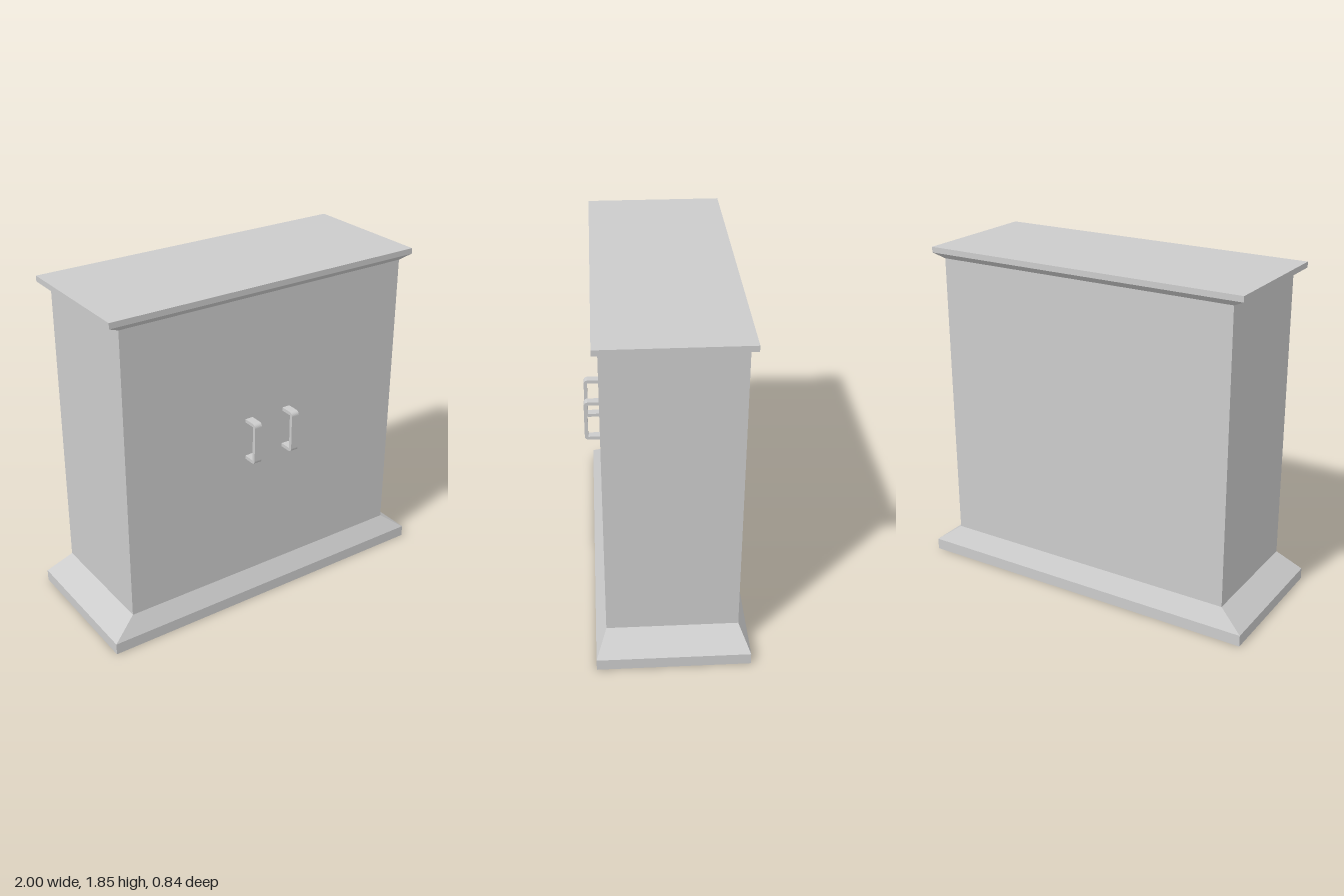
import * as THREE from 'three';

const material = new THREE.MeshStandardMaterial({ color: 0xcccccc, flatShading: true });
const CENTRE_Z = -0.0145;

// Solid with rectangular sections, each [y, half width, half depth], from bottom to top
function rectLoft(name, sections) {
  const rings = sections.map(([y, w, d]) =>
    [[-w, d], [w, d], [w, -d], [-w, -d]].map(([x, z]) => [x, y, z + CENTRE_Z]));
  const positions = [];
  const quad = (a, b, c, d) => positions.push(...a, ...b, ...c, ...a, ...c, ...d);
  for (let i = 0; i < rings.length - 1; i++) {
    for (let k = 0; k < 4; k++) {
      const n = (k + 1) % 4;
      quad(rings[i][k], rings[i][n], rings[i + 1][n], rings[i + 1][k]);
    }
  }
  quad(...rings[rings.length - 1]);
  quad(...[...rings[0]].reverse());
  const geometry = new THREE.BufferGeometry();
  geometry.setAttribute('position', new THREE.Float32BufferAttribute(positions, 3));
  geometry.computeVertexNormals();
  const mesh = new THREE.Mesh(geometry, material);
  mesh.name = name;
  return mesh;
}

// Flat strap handle: side profile (x = forward, y = up) extruded across its width
function makeHandle(name, x) {
  const back = 0.33, front = 0.42, low = 0.881, high = 1.117, t = 0.019, r = 0.022;
  const width = 0.045;
  const shape = new THREE.Shape();
  shape.moveTo(back, low);
  shape.lineTo(front - r, low);
  shape.absarc(front - r, low + r, r, -Math.PI / 2, 0, false);
  shape.lineTo(front, high - r);
  shape.absarc(front - r, high - r, r, 0, Math.PI / 2, false);
  shape.lineTo(back, high);
  shape.lineTo(back, high - t);
  shape.lineTo(front - t, high - t);
  shape.lineTo(front - t, low + t);
  shape.lineTo(back, low + t);
  shape.closePath();
  const geometry = new THREE.ExtrudeGeometry(shape, { depth: width, bevelEnabled: false, curveSegments: 5 });
  geometry.translate(0, 0, -width / 2);
  geometry.rotateY(-Math.PI / 2);
  const mesh = new THREE.Mesh(geometry, material);
  mesh.position.x = x;
  mesh.name = name;
  return mesh;
}

export function createModel() {
  const cabinet = new THREE.Group();
  cabinet.name = 'cabinet';

  // Plinth with sloped upper edge
  cabinet.add(rectLoft('base', [[0, 1, 0.405], [0.064, 1, 0.405], [0.163, 0.864, 0.349]]));
  // Plain carcass
  cabinet.add(rectLoft('body', [[0.163, 0.864, 0.349], [1.79, 0.864, 0.349]]));
  // Overhanging top with chamfered underside
  cabinet.add(rectLoft('top', [[1.79, 0.864, 0.349], [1.82, 0.927, 0.378], [1.851, 0.927, 0.378]]));

  // Pair of door handles
  cabinet.add(makeHandle('leftHandle', 0.12), makeHandle('rightHandle', -0.12));
  return cabinet;
}
